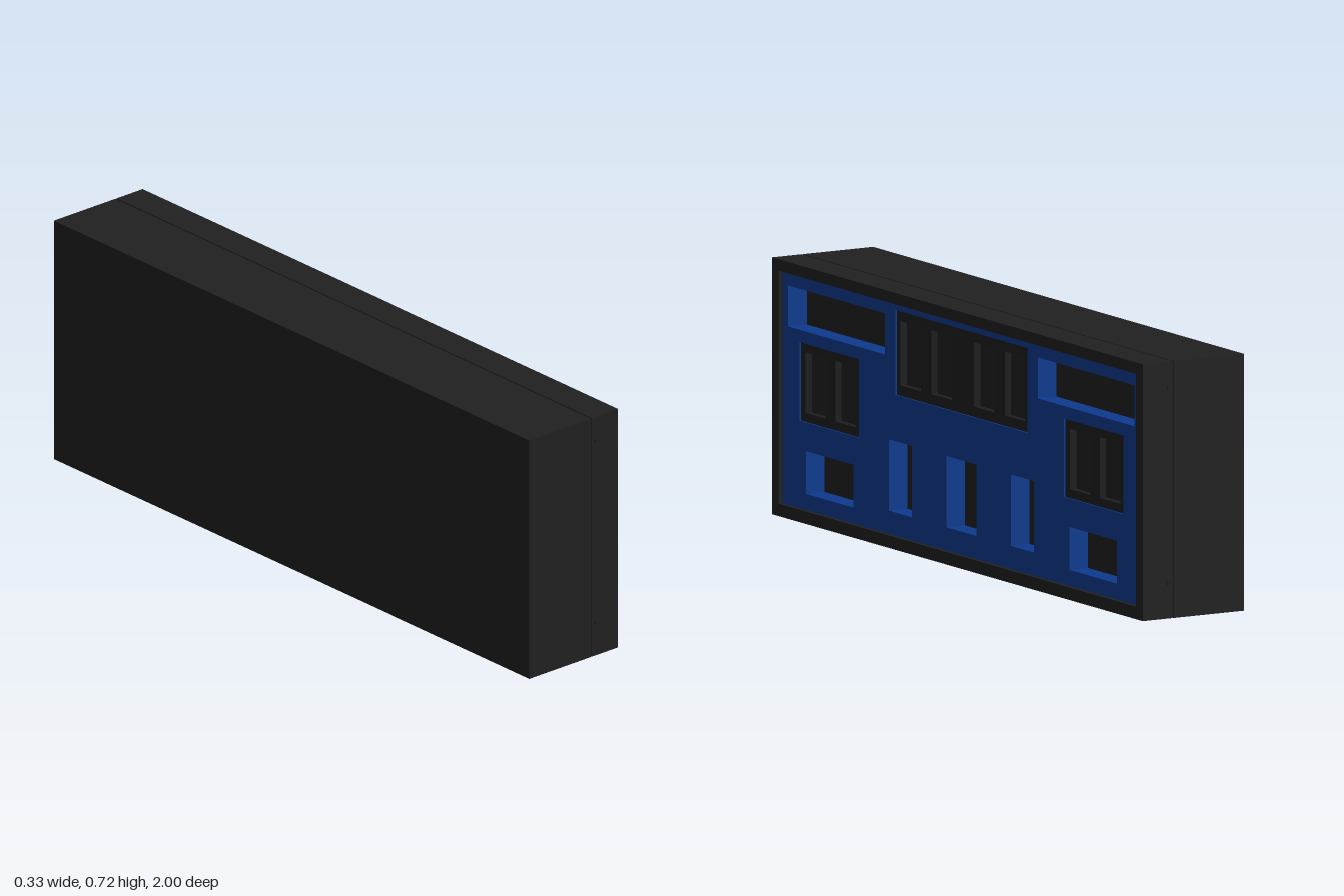
import * as THREE from 'three';

const W = 0.163, H = 0.72;

// Rectangle as a path; u runs along -z, v along y
function rect(PathType, u0, u1, v0, v1) {
  const p = new PathType();
  p.moveTo(u0, v0);
  p.lineTo(u1, v0);
  p.lineTo(u1, v1);
  p.lineTo(u0, v1);
  p.closePath();
  return p;
}

export function createModel() {
  const group = new THREE.Group();
  const black = new THREE.MeshStandardMaterial({ name: 'black casing', color: 0x202020 });
  const dark = new THREE.MeshStandardMaterial({ name: 'dark display', color: 0x1d1d1d });
  const blue = new THREE.MeshStandardMaterial({ name: 'blue panel', color: 0x0d3a8e });

  const box = (name, mat, x0, x1, y0, y1, z0, z1) => {
    const m = new THREE.Mesh(new THREE.BoxGeometry(x1 - x0, y1 - y0, z1 - z0), mat);
    m.position.set((x0 + x1) / 2, (y0 + y1) / 2, (z0 + z1) / 2);
    m.name = name;
    group.add(m);
  };

  // Plate facing +x with rectangular openings [u0, u1, v0, v1]
  const plate = (name, mat, x0, x1, outer, holes) => {
    const shape = rect(THREE.Shape, ...outer);
    for (const h of holes) shape.holes.push(rect(THREE.Path, ...h));
    const geo = new THREE.ExtrudeGeometry(shape, { depth: x1 - x0, bevelEnabled: false });
    geo.rotateY(Math.PI / 2);
    geo.translate(x0, 0, 0);
    const m = new THREE.Mesh(geo, mat);
    m.name = name;
    group.add(m);
  };

  // Rear casing, narrow seam and front frame
  box('rearCasing', black, -W, 0.063, 0, H, -0.996, 0.996);
  box('seam', dark, 0.063, 0.067, 0.003, H - 0.003, -0.993, 0.993);
  box('frontCasing', black, 0.067, 0.09, 0, H, -0.996, 0.996);
  const inner = [-0.96, 0.96, 0.035, 0.688];
  plate('frontFrame', black, 0.09, W, [-0.996, 0.996, 0, H], [inner]);

  // Openings of the blue face
  const slots = [[-0.08, 0.08, 0.1, 0.3]];
  const scores = [];
  for (const s of [-1, 1]) {
    const mirrored = (a, b, v0, v1) => [Math.min(s * a, s * b), Math.max(s * a, s * b), v0, v1];
    slots.push(mirrored(0.41, 0.93, 0.535, 0.65));
    slots.push(mirrored(0.58, 0.835, 0.08, 0.2));
    slots.push(mirrored(0.265, 0.39, 0.1, 0.3));
    scores.push(mirrored(0.55, 0.87, 0.28, 0.5));
  }
  const clock = [-0.355, 0.355, 0.43, 0.668];
  plate('bluePanel', blue, 0.09, 0.15, inner, [...slots, ...scores, clock]);

  // Displays with shallow digit cells
  const display = (name, area, centres, hw, hh) => {
    const v = (area[2] + area[3]) / 2;
    const cells = centres.map(c => [c - hw, c + hw, v - hh, v + hh]);
    plate(name, dark, 0.125, 0.145, area, cells);
    box(name + 'Back', black, 0.09, 0.125, area[2], area[3], -area[1], -area[0]);
  };
  display('clockDisplay', clock, [-0.28, -0.115, 0.115, 0.28], 0.055, 0.09);
  scores.forEach((a, i) => {
    const c = (a[0] + a[1]) / 2;
    display(i ? 'rightScoreDisplay' : 'leftScoreDisplay', a, [c - 0.08, c + 0.08], 0.055, 0.085);
  });

  // Small screws on both ends
  for (const s of [-1, 1]) for (const y of [0.1, 0.65]) {
    const m = new THREE.Mesh(new THREE.CylinderGeometry(0.006, 0.006, 0.008, 12), dark);
    m.rotation.x = Math.PI / 2;
    m.position.set(0.08, y, s * 0.996);
    m.name = 'screw';
    group.add(m);
  }
  return group;
}
